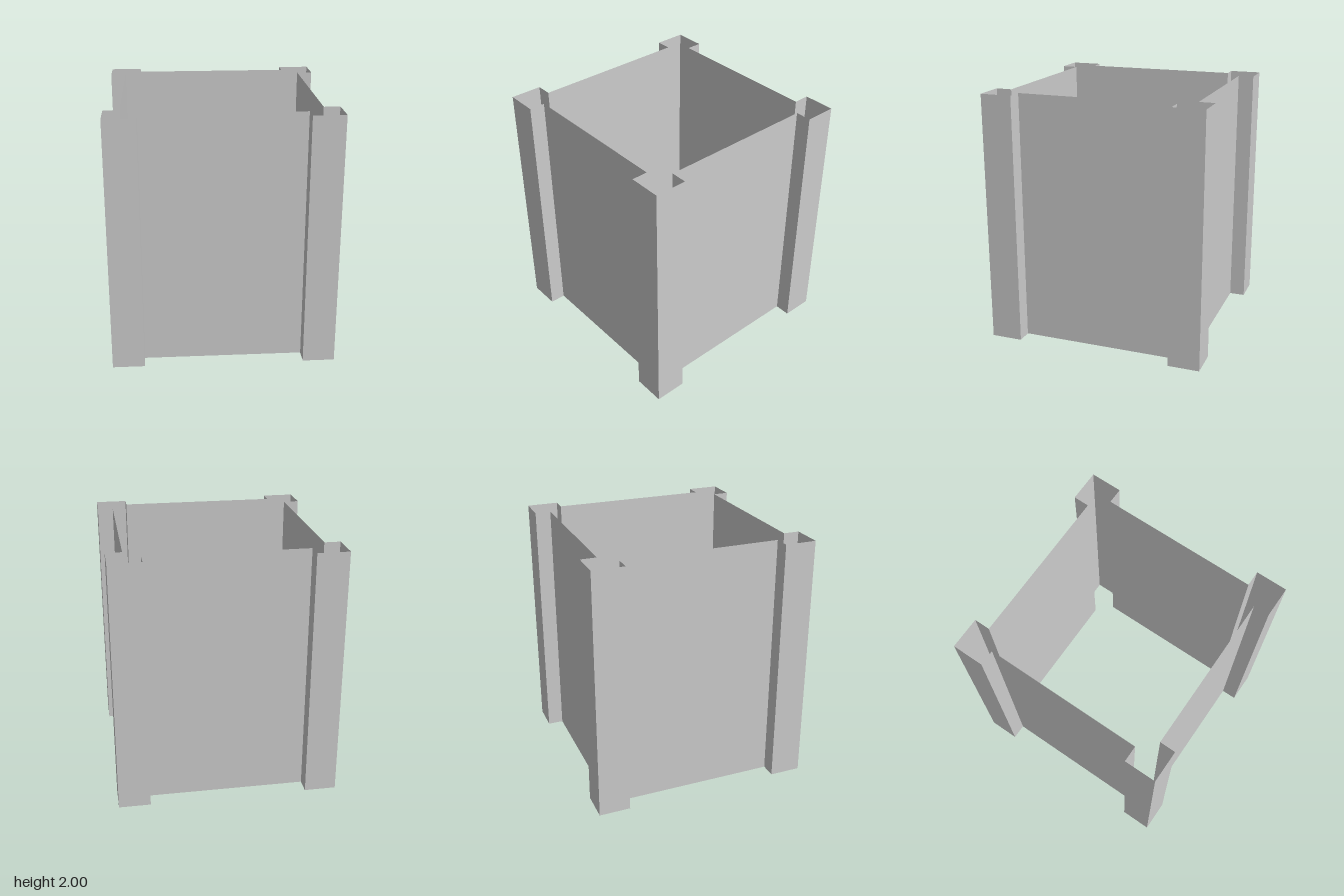
import * as THREE from 'three';

const HEIGHT = 2;
const OUTER = 0.875; // outer faces of the corner posts
const INNER = 0.625; // where each post meets its wall
const WALL = 0.75;   // plane of the recessed walls

export function createModel() {
  const model = new THREE.Group();
  model.name = 'openBox';
  const material = new THREE.MeshStandardMaterial({ color: 0xcccccc, side: THREE.DoubleSide });

  // Upright thin panel, facing outward at turn = 0
  function panel(parent, name, width, x, z, turn = 0) {
    const mesh = new THREE.Mesh(new THREE.PlaneGeometry(width, HEIGHT), material);
    mesh.name = name;
    mesh.position.set(x, HEIGHT / 2, z);
    mesh.rotation.y = turn;
    parent.add(mesh);
  }

  // Four identical sides: recessed wall, post faces and the short returns between them
  ['front', 'left', 'back', 'right'].forEach((label, i) => {
    const side = new THREE.Group();
    side.name = label + 'Side';
    side.rotation.y = i * Math.PI / 2;
    panel(side, 'wall', INNER * 2, 0, WALL);
    for (const s of [-1, 1]) {
      panel(side, 'postFace', OUTER - INNER, s * (OUTER + INNER) / 2, OUTER);
      panel(side, 'postReturn', OUTER - WALL, s * INNER, (OUTER + WALL) / 2, -s * Math.PI / 2);
    }
    model.add(side);
  });

  return model;
}
